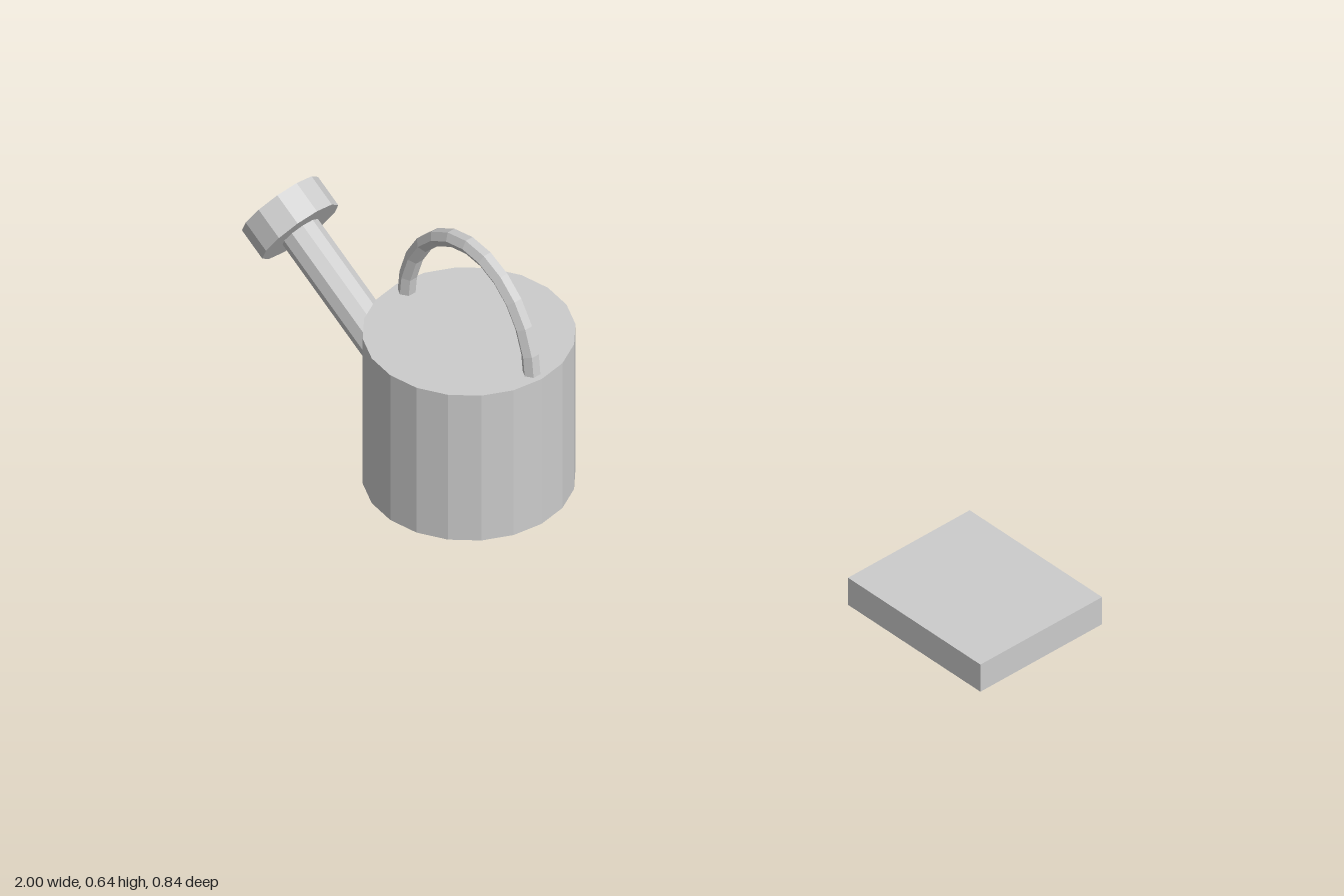
import * as THREE from 'three';

const material = new THREE.MeshStandardMaterial({ color: 0xcccccc, flatShading: true });

function part(name, geometry, parent, x = 0, y = 0, z = 0) {
  const mesh = new THREE.Mesh(geometry, material);
  mesh.name = name;
  mesh.position.set(x, y, z);
  parent.add(mesh);
  return mesh;
}

// Half-elliptical arch, stepped evenly by angle
class ArchCurve extends THREE.Curve {
  constructor(halfWidth, height) {
    super();
    this.halfWidth = halfWidth;
    this.height = height;
  }
  getPoint(t, target = new THREE.Vector3()) {
    const a = Math.PI * t;
    return target.set(this.halfWidth * Math.cos(a), this.height * Math.sin(a), 0);
  }
  getPointAt(t, target) { return this.getPoint(t, target); }
  getTangentAt(t, target) { return this.getTangent(t, target); }
}

export function createModel() {
  const model = new THREE.Group();
  model.name = 'wateringCanAndSlab';

  const can = new THREE.Group();
  can.name = 'wateringCan';
  can.position.set(-0.345, 0, 0.19);
  model.add(can);

  // Drum-shaped body
  part('body', new THREE.CylinderGeometry(0.23, 0.23, 0.39, 20), can, 0, 0.195, 0);

  // Arched carrying handle, its ends sunk into the body
  part('handle', new THREE.TubeGeometry(new ArchCurve(0.2, 0.25), 12, 0.02, 6), can, 0, 0.372, 0);

  // Tilted spout with a wide sprinkler head; local +y runs outward
  const spout = new THREE.Group();
  spout.name = 'spoutAssembly';
  spout.position.set(-0.568, 0.38, 0);
  spout.rotation.z = THREE.MathUtils.degToRad(58);
  can.add(spout);
  part('sprinklerHead', new THREE.CylinderGeometry(0.1, 0.1, 0.076, 12), spout);
  part('spoutPipe', new THREE.CylinderGeometry(0.047, 0.047, 0.46, 10), spout, 0, -0.23, 0);

  // Separate flat slab
  part('slab', new THREE.BoxGeometry(0.42, 0.073, 0.355), model, 0.79, 0.075, -0.2425);

  return model;
}
